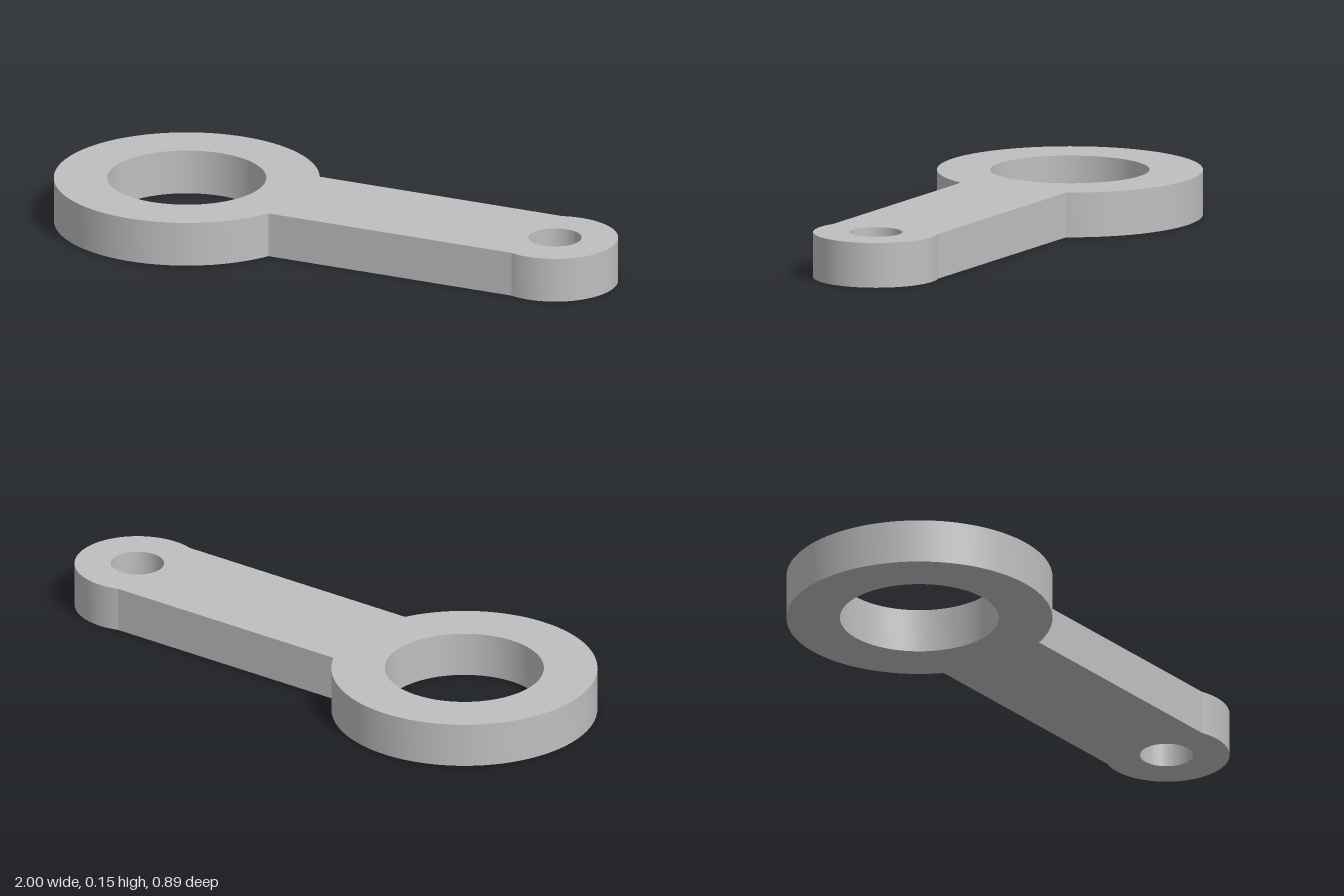
import * as THREE from 'three';
import { toCreasedNormals } from 'three/addons/utils/BufferGeometryUtils.js';

export function createModel() {
  const group = new THREE.Group();
  const metal = new THREE.MeshStandardMaterial({ color: 0xbfbfbf });
  metal.name = 'grey metal';

  const bigR = 0.445, bigHole = 0.266;
  const smallR = 0.211, smallHole = 0.089;
  const halfWidth = 0.2, thickness = 0.152;
  const big = new THREE.Vector2(-0.555, 0.002);
  const small = new THREE.Vector2(0.789, -0.236);
  const length = big.distanceTo(small);
  const slope = small.clone().sub(big).angle();

  // Outline along the arm axis: large ring, straight arm, small rounded end
  const a = Math.asin(halfWidth / bigR);
  const b = Math.PI - Math.asin(halfWidth / smallR);
  const outline = new THREE.Shape();
  outline.absarc(0, 0, bigR, a, 2 * Math.PI - a, false);
  outline.absarc(length, 0, smallR, -b, b, false);
  outline.closePath();

  // Bore and pin hole
  for (const [x, r] of [[0, bigHole], [length, smallHole]]) {
    outline.holes.push(new THREE.Path().absarc(x, 0, r, 0, Math.PI * 2, true));
  }

  // Extrude, swing the arm to its angle and lay it flat
  let geometry = new THREE.ExtrudeGeometry(outline, {
    depth: thickness, bevelEnabled: false, curveSegments: 64,
  });
  geometry.rotateZ(slope);
  geometry.translate(big.x, big.y, 0);
  geometry.rotateX(-Math.PI / 2);
  geometry = toCreasedNormals(geometry, 0.25);

  const lever = new THREE.Mesh(geometry, metal);
  lever.name = 'leverArm';
  group.add(lever);
  return group;
}
